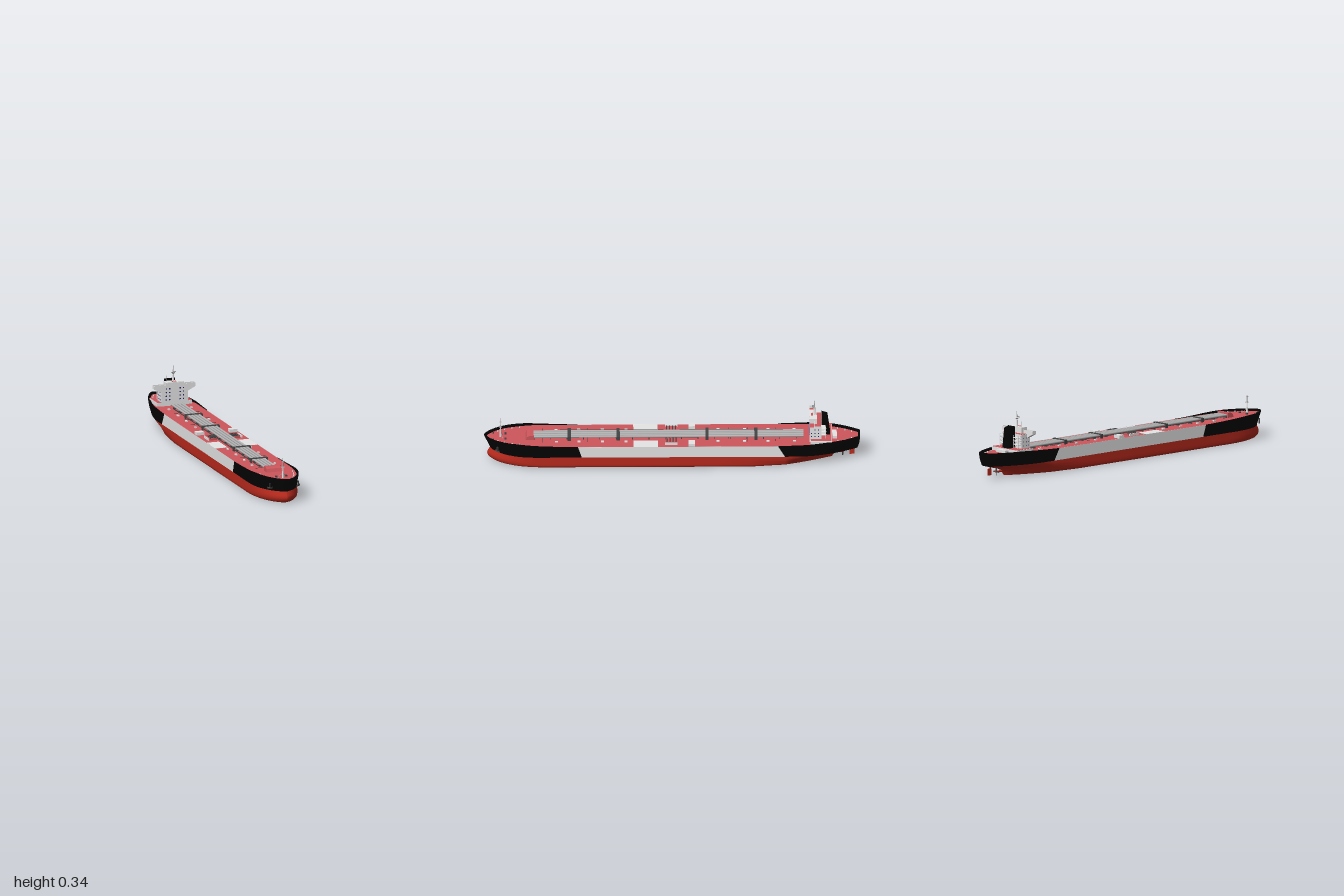
import * as THREE from 'three';

const mat = (name, color, side = THREE.FrontSide) => Object.assign(new THREE.MeshStandardMaterial({ color, side }), { name });
const M = {
  red: mat('hullRed', 0xb92a1e),
  black: mat('hullBlack', 0x030303, THREE.DoubleSide),
  grey: mat('paintGrey', 0xe6e6e6),
  deck: mat('deckRed', 0xcd565c),
  pipe: mat('pipeGrey', 0xb0b0b0),
  dark: mat('darkSteel', 0x444444),
  blue: mat('windowBlue', 0x24246e),
};
const DECK = 0.125, WATER = 0.064;
const { clamp, lerp, smoothstep } = THREE.MathUtils;

// Waterlines: y, stern z, bow z, stern half width, stern taper z, bow taper z, half beam, stern fullness
const LEVELS = [
  [0, -0.85, 0.95, 0.004, -0.48, 0.66, 0.114, 1.5],
  [0.005, -0.853, 0.965, 0.004, -0.5, 0.68, 0.121, 1.5],
  [0.015, -0.86, 0.978, 0.005, -0.52, 0.70, 0.123, 1.5],
  [0.03, -0.87, 0.983, 0.007, -0.55, 0.71, 0.123, 1.6],
  [0.042, -0.895, 0.979, 0.012, -0.58, 0.71, 0.123, 1.7],
  [0.054, -0.95, 0.972, 0.02, -0.62, 0.71, 0.123, 1.9],
  [WATER, -0.985, 0.967, 0.028, -0.65, 0.71, 0.123, 2],
  [0.095, -0.995, 0.98, 0.033, -0.68, 0.72, 0.123, 2.2],
  [DECK, -0.999, 0.995, 0.036, -0.7, 0.73, 0.123, 2.3],
  [0.137, -1, 1, 0.037, -0.7, 0.735, 0.123, 2.3],
];
const NS = 16, NM = 6, NB = 20, N = NS + NM + NB;

function halfWidth([, zs, zb, end, ss, bs, hb, p], z) {
  if (z > bs) return hb * Math.pow(Math.max(0, 1 - Math.pow((z - bs) / (zb - bs), 2.3)), 0.66);
  return z < ss ? end + (hb - end) * (1 - Math.pow((ss - z) / (ss - zs), p)) : hb;
}
// Closed ring of points: up the left side to the bow, back down the right side
function ring(L, inset = () => 0, top = L[0]) {
  const f = clamp((L[0] - WATER) / (DECK - WATER), 0, 1), zA = lerp(-0.6, -0.565, f), zB = lerp(0.48, 0.5, f), side = [];
  for (let i = 0; i <= N; i++) {
    let z = lerp(zA, zB, (i - NS) / NM);
    if (i < NS) z = lerp(L[1], zA, Math.pow(i / NS, 1.4));
    if (i > NS + NM) z = lerp(zB, L[2], 1 - Math.pow(1 - (i - NS - NM) / NB, 2));
    side.push(new THREE.Vector2(halfWidth(L, z), z));
  }
  const pts = side.map((p, i) => {
    const t = side[Math.min(i + 1, N)].clone().sub(side[Math.max(i - 1, 0)]).normalize(), w = inset(p.y);
    // the rail sinks to a low edge amidships
    const y = top > DECK ? DECK + 0.002 + 0.01 * smoothstep(Math.abs(p.y), 0.5, 0.84) : top;
    return [Math.max(0, p.x - w * t.y), y, Math.max(L[1] + w, p.y + w * t.x)];
  });
  return pts.concat(pts.slice().reverse().map(([x, y, z]) => [-x, y, z]));
}
// Skin between rings; cap 1 closes the first ring facing up, -1 facing down
function skin(parent, name, rows, materials, cap = 0) {
  const n = 2 * N + 2, faces = materials.map(() => []), pos = rows.flat(2), base = pos.length / 3;
  for (let r = 0; r + 1 < rows.length; r++) for (let k = 0; k < n; k++) {
    const a = r * n + k, b = r * n + (k + 1) % n, i = Math.min(k, n - 2 - k);
    faces[i >= NS && i < NS + NM ? materials.length - 1 : 0].push(a, a + n, b + n, a, b + n, b);
  }
  if (cap) pos.push(...rows[0].flat());
  for (let k = 0; cap && k < N; k++) {
    const p = base + k, q = base + n - 1 - k;
    faces[0].push(...(cap > 0 ? [p, q, q - 1, p, q - 1, p + 1] : [p, q - 1, q, p, p + 1, q - 1]));
  }
  const g = new THREE.BufferGeometry();
  g.setAttribute('position', new THREE.Float32BufferAttribute(pos, 3));
  g.setIndex(faces.flat());
  faces.forEach((f, i) => g.addGroup(i ? faces[0].length : 0, f.length, i));
  g.computeVertexNormals();
  add(parent, name, g, materials);
}
function add(parent, name, geometry, material) {
  const m = new THREE.Mesh(geometry, material);
  m.name = name;
  parent.add(m);
  return m;
}
// y is the underside of the box
function box(parent, name, m, w, h, d, x, y, z) {
  const b = add(parent, name, new THREE.BoxGeometry(w, h, d), m);
  b.position.set(x, y + h / 2, z);
  return b;
}
function rod(parent, name, m, from, to, r0, r1 = r0) {
  const a = new THREE.Vector3(...from), b = new THREE.Vector3(...to), dir = b.clone().sub(a);
  const c = add(parent, name, new THREE.CylinderGeometry(r1, r0, dir.length(), 16), m);
  c.position.copy(a).add(b).multiplyScalar(0.5);
  c.quaternion.setFromUnitVectors(new THREE.Vector3(0, 1, 0), dir.normalize());
}
const extrude = (pts, depth) => new THREE.ExtrudeGeometry(new THREE.Shape(pts.map(p => new THREE.Vector2(...p))), { depth, bevelEnabled: false });
// Side profile of [z, y] points swept across the ship
function acrossShip(parent, name, m, pts, width) {
  add(parent, name, extrude(pts.map(([z, y]) => [-z, y]), width).rotateY(Math.PI / 2).translate(-width / 2, 0, 0), m);
}
function group(parent, name) {
  const g = new THREE.Group();
  g.name = name;
  parent.add(g);
  return g;
}

function addHull(ship) {
  const g = group(ship, 'hull'), rail = LEVELS[9];
  const thickness = z => 0.0015 + 0.009 * smoothstep(Math.abs(z), 0.7, 0.84);
  skin(g, 'lowerHull', LEVELS.slice(0, 7).map(L => ring(L)), [M.red], -1);
  skin(g, 'upperHull', LEVELS.slice(6).map(L => ring(L)), [M.black, M.grey]);
  skin(g, 'bulwark', [ring(rail), ring(rail, thickness), ring(rail, thickness, DECK)], [M.black, M.grey]);
  skin(g, 'mainDeck', [ring(LEVELS[8], () => 0.0005)], [M.deck], 1);
  // rudder, propeller and anchors
  box(g, 'rudder', M.red, 0.006, 0.036, 0.025, 0, 0.012, -0.957);
  rod(g, 'rudderStock', M.dark, [0, 0.045, -0.953], [0, 0.066, -0.953], 0.004);
  rod(g, 'propellerShaft', M.red, [0, 0.026, -0.86], [0, 0.026, -0.915], 0.006, 0.004);
  for (let i = 0; i < 4; i++) {
    const b = box(g, 'propellerBlade', M.dark, 0.009, 0.019, 0.002, 0, 0.0165, -0.908);
    b.geometry.translate(0, 0.012, 0);
    b.rotation.set(0, 0.5, i * Math.PI / 2, 'ZYX');
  }
  for (const s of [-1, 1]) {
    const a = group(g, 'anchor');
    a.position.set(s * 0.08, 0.079, 0.928);
    a.rotation.y = s * 0.75;
    box(a, 'anchorShank', M.dark, 0.004, 0.027, 0.008, 0, 0, 0);
    box(a, 'anchorCrown', M.dark, 0.028, 0.005, 0.008, 0, 0, 0);
    for (const t of [-1, 1]) rod(a, 'anchorFluke', M.dark, [t * 0.012, 0.002, 0], [t * 0.014, 0.012, 0.001], 0.0025, 0.0005);
  }
}

function addCargoGear(ship) {
  const g = group(ship, 'cargoGear');
  for (const x of [-0.028, -0.009, 0.01, 0.029]) rod(g, 'cargoPipe', M.pipe, [x, 0.139, -0.7], [x, 0.139, 0.74], 0.0062);
  box(g, 'catwalk', M.dark, 0.005, 0.003, 1.28, -0.046, 0.134, 0.02);
  for (let z = -0.66; z < 0.74; z += 0.087) box(g, 'pipeSupport', M.dark, 0.074, 0.009, 0.004, 0, DECK, z);
  for (const z of [-0.446, -0.186, 0.286, 0.546]) {
    box(g, 'pipeBridge', M.dark, 0.096, 0.003, 0.017, 0, 0.1445, z);
    for (const s of [-1, 1]) box(g, 'bridgeLeg', M.dark, 0.006, 0.0195, 0.017, s * 0.046, DECK, z);
  }
  for (const z of [-0.55, -0.4, -0.3, 0.45, 0.69]) rod(g, 'crossPipe', M.dark, [-0.072, 0.131, z], [0.072, 0.131, z], 0.0012);
  acrossShip(g, 'forwardStore', M.deck, [[0.735, DECK], [0.778, DECK], [0.77, 0.143], [0.755, 0.152], [0.735, 0.152]], 0.082);
  for (const s of [-1, 1]) {
    // painted area, lockers, loading manifold and hatches
    box(g, 'paintedDeckArea', M.grey, 0.07, 0.001, 0.13, s * 0.086, DECK, 0.14);
    box(g, 'deckLocker', M.grey, 0.042, 0.016, 0.034, s * 0.094, DECK, -0.105);
    box(g, 'dripTray', M.deck, 0.036, 0.011, 0.062, s * 0.066, DECK, 0.004);
    box(g, 'manifoldRail', M.grey, 0.005, 0.012, 0.066, s * 0.095, DECK, 0.004);
    for (let i = 0; i < 4; i++) rod(g, 'manifoldPipe', M.dark, [s * 0.04, 0.137, i * 0.016 - 0.02], [s * 0.084, 0.137, i * 0.016 - 0.02], 0.0025);
    for (const z of [-0.65, -0.51, -0.385, -0.245, 0.245, 0.37, 0.495, 0.615]) box(g, 'tankHatch', M.grey, 0.01, 0.006, 0.016, s * 0.064, DECK, z);
    for (const z of [0.81, 0.85, 0.89, 0.925, 0.95, -0.88, -0.92, -0.955]) {
      const x = s * (halfWidth(LEVELS[8], z) - 0.026);
      rod(g, 'bollard', z > 0.94 ? M.dark : M.grey, [x, DECK, z], [x, 0.131, z], 0.0035);
    }
    box(g, 'windlass', M.dark, 0.01, 0.008, 0.01, s * 0.028, DECK, 0.885);
  }
  const m = group(ship, 'bowMast');
  rod(m, 'mastPole', M.grey, [0, DECK, 0.912], [0, 0.185, 0.912], 0.005, 0.003);
  rod(m, 'mastTop', M.pipe, [0, 0.185, 0.912], [0, 0.237, 0.912], 0.002, 0.001);
  for (const [y, w] of [[0.182, 0.02], [0.187, 0.014], [0.213, 0.01]]) box(m, 'mastPlatform', M.pipe, w, 0.002, 0.01, 0, y, 0.912);
  for (const s of [-1, 1]) rod(m, 'mastStay', M.pipe, [s * 0.022, DECK, 0.9], [0, 0.155, 0.912], 0.0012);
}

function addHouse(ship) {
  const g = group(ship, 'deckhouse');
  box(g, 'houseBase', M.grey, 0.2, 0.019, 0.115, 0, DECK, -0.7925);
  box(g, 'baseRoof', M.deck, 0.194, 0.001, 0.111, 0, 0.144, -0.7925);
  box(g, 'accommodation', M.grey, 0.15, 0.095, 0.062, 0, DECK, -0.762);
  box(g, 'houseRoof', M.deck, 0.146, 0.001, 0.036, 0, 0.22, -0.774);
  box(g, 'aftStore', M.grey, 0.07, 0.014, 0.024, 0, DECK, -0.864);
  // bridge with sloping wings: floor, then front and back parapets
  for (const [name, top, z, depth] of [['wingFloor', 0.224, -0.756, 0.026], ['frontParapet', 0.24, -0.732, 0.002], ['backParapet', 0.24, -0.756, 0.002]])
    add(g, name, extrude([[-0.075, 0.2], [0.075, 0.2], [0.118, 0.221], [0.118, top], [-0.118, top], [-0.118, 0.221]], depth), M.grey).position.z = z;
  for (const t of [-1, 1]) box(g, 'wingEnd', M.grey, 0.002, 0.016, 0.022, t * 0.117, 0.224, -0.743);
  box(g, 'wingDeck', M.deck, 0.232, 0.001, 0.022, 0, 0.224, -0.743);
  box(g, 'wheelhouse', M.grey, 0.1, 0.033, 0.04, 0, 0.22, -0.7495);
  box(g, 'roofHatch', M.deck, 0.026, 0.002, 0.01, 0, 0.253, -0.744);
  for (let i = 0; i < 5; i++) box(g, 'bridgeWindow', M.grey, 0.0165, 0.018, 0.002, (i - 2) * 0.0185, 0.2325, -0.729);
  for (const t of [-1, 1]) for (const y of [0.138, 0.156, 0.176, 0.196, 0.216]) {
    const low = y < 0.14;
    for (const x of low ? [0.065] : [0.03, 0.049]) box(g, 'cabinWindow', M.blue, 0.006, 0.006, 0.002, t * x, y, low ? -0.7345 : -0.7298);
    if (!low && y < 0.21) for (const z of [-0.742, -0.76, -0.778]) box(g, 'sideWindow', M.blue, 0.002, 0.006, 0.006, t * 0.0744, y, z);
  }
  // funnel and aft galleries
  acrossShip(g, 'funnel', M.black, [[-0.796, 0.144], [-0.796, 0.26], [-0.826, 0.25], [-0.84, 0.144]], 0.052);
  for (const t of [-1, 1]) {
    for (const y of [0.164, 0.183, 0.202]) {
      box(g, 'gallery', M.grey, 0.04, 0.003, 0.024, t * 0.052, y, -0.805);
      box(g, 'galleryRail', M.grey, 0.04, 0.0015, 0.0015, t * 0.052, y + 0.01, -0.816);
      box(g, 'gallerySideRail', M.grey, 0.0015, 0.0015, 0.024, t * 0.071, y + 0.01, -0.805);
      rod(g, 'galleryStair', M.pipe, [t * 0.036, y - 0.018, -0.819], [t * 0.062, y, -0.819], 0.002);
    }
    for (const x of [0.034, 0.071]) box(g, 'galleryPost', M.grey, 0.002, 0.068, 0.002, t * x, 0.145, -0.816);
  }
  // radar mast and aerial
  rod(g, 'radarMast', M.grey, [0, 0.253, -0.758], [0, 0.298, -0.758], 0.006, 0.004);
  rod(g, 'radarPlatform', M.grey, [0, 0.292, -0.758], [0, 0.3, -0.758], 0.004, 0.012);
  box(g, 'radarBar', M.dark, 0.024, 0.002, 0.004, 0, 0.302, -0.75);
  rod(g, 'mastTip', M.pipe, [0, 0.3, -0.758], [0, 0.336, -0.758], 0.0025, 0.001);
  rod(g, 'roofAerial', M.pipe, [-0.039, 0.24, -0.758], [-0.039, 0.284, -0.758], 0.0012);
}

export function createModel() {
  const ship = new THREE.Group();
  ship.name = 'tanker';
  addHull(ship);
  addCargoGear(ship);
  addHouse(ship);
  return ship;
}
